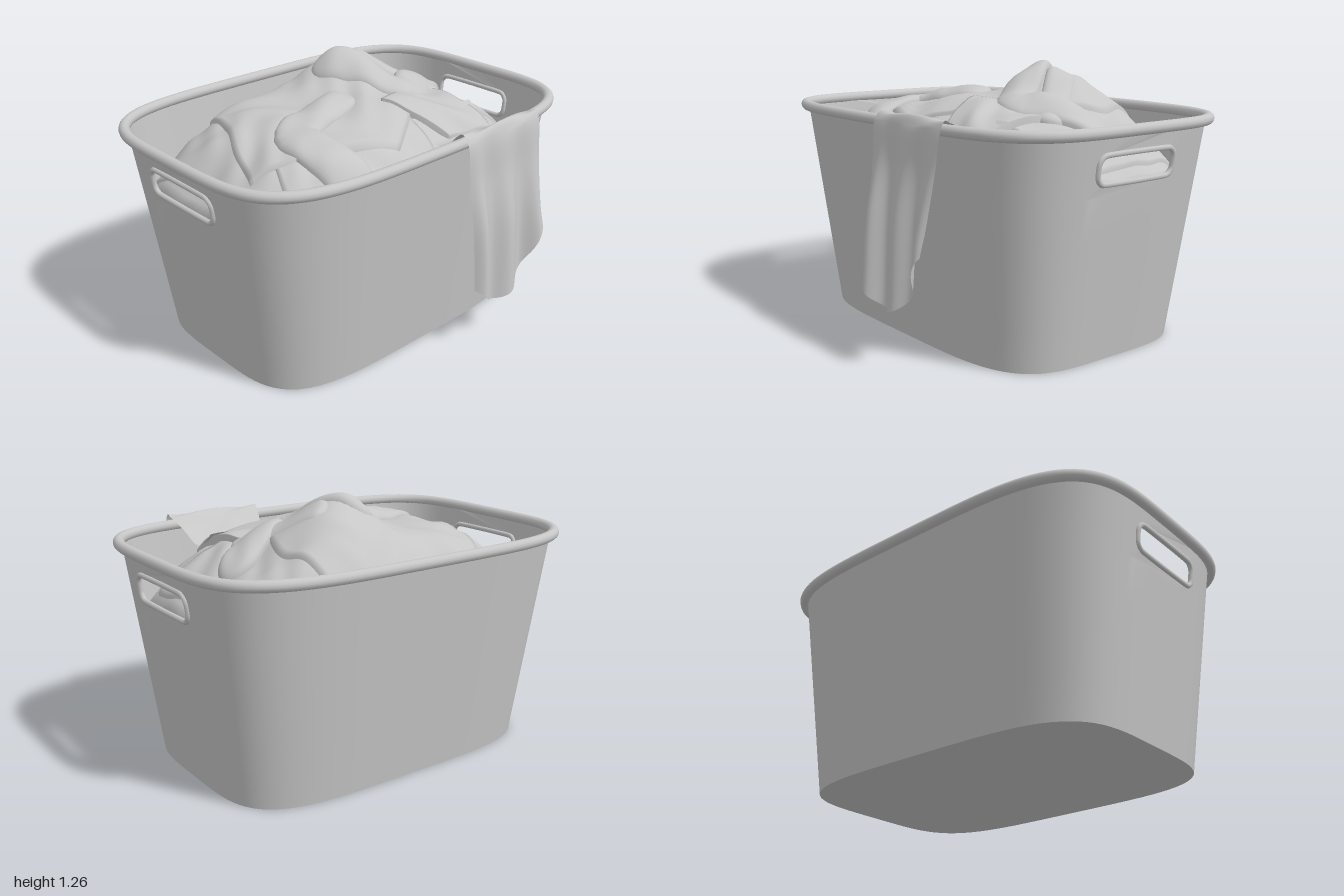
import * as THREE from 'three';
import { mergeGeometries, mergeVertices } from 'three/addons/utils/BufferGeometryUtils.js';

const CZ = -0.07;      // basket centre in z
const TOP = 1.02;      // top of the wall
const SILL = 0.75;     // bottom of the panels that hold the handle holes
const STEP = Math.PI / 60;
const PANEL = STEP * 8;

const halfX = (y) => 0.83 + 0.13 * y;
const halfZ = (y) => 0.555 + 0.11 * y;

// Point on a rounded rectangular outline at angle a
function outline(a, hx, hz, y, n = 4.3) {
  const c = Math.cos(a), s = Math.sin(a);
  const r = 1 / Math.pow(Math.abs(c) ** n + Math.abs(s) ** n, 1 / n);
  return new THREE.Vector3(hx * r * c, y, CZ + hz * r * s);
}
const wallPoint = (a, y) => outline(a, halfX(y), halfZ(y), y);

// Weld a geometry and give it smooth normals
function weld(geo) {
  geo.deleteAttribute('uv');
  geo.deleteAttribute('normal');
  const welded = mergeVertices(geo, 1e-4);
  welded.computeVertexNormals();
  return welded;
}

// Grid surface from a rule (s, t) -> Vector3
function surface(nu, nv, rule) {
  const geo = new THREE.PlaneGeometry(1, 1, nu, nv);
  const p = geo.attributes.position;
  for (let i = 0; i < p.count; i++) {
    const v = rule(0.5 - p.getX(i), p.getY(i) + 0.5);
    p.setXYZ(i, v.x, v.y, v.z);
  }
  return geo;
}

// Rounded slot outline, as (angle, y) points
function slot() {
  const pts = [], r = 0.045, w = 0.226 - r, h = 0.062 - r;
  [[1, 1], [-1, 1], [-1, -1], [1, -1]].forEach(([sx, sy], k) => {
    for (let i = 0; i <= 6; i++) {
      const a = (k + i / 6) * Math.PI / 2;
      pts.push(new THREE.Vector2(sx * w + r * Math.cos(a), 0.867 + sy * h + r * Math.sin(a)));
    }
  });
  return pts.map((q) => new THREE.Vector2(Math.atan(q.x / halfZ(q.y)), q.y));
}

function wallGeometry() {
  const parts = [];
  const band = (a0, a1, y0, y1, rows) => parts.push(surface(Math.round((a1 - a0) / STEP), rows,
    (s, t) => wallPoint(a0 + (a1 - a0) * s, y0 + (y1 - y0) * t)));
  band(0, Math.PI * 2, 0, SILL, 4);
  for (const a of [0, Math.PI]) {
    band(a + PANEL, a + Math.PI - PANEL, SILL, TOP, 1);
    // panel with the handle hole
    const pts = [];
    for (let i = -8; i <= 8; i++) pts.push(new THREE.Vector2(i * STEP, SILL));
    for (let i = 8; i >= -8; i--) pts.push(new THREE.Vector2(i * STEP, TOP));
    const shape = new THREE.Shape(pts);
    shape.holes.push(new THREE.Path(slot()));
    const panel = new THREE.ShapeGeometry(shape);
    const p = panel.attributes.position;
    for (let i = 0; i < p.count; i++) {
      const v = wallPoint(a - p.getX(i), p.getY(i));
      p.setXYZ(i, v.x, v.y, v.z);
    }
    parts.push(panel);
  }
  return weld(mergeGeometries(parts));
}

// Height of the laundry heap
const bump = (x, z, cx, cz, s) => Math.exp(-((x - cx) ** 2 + (z - cz) ** 2) / (2 * s * s));
function heap(x, z) {
  const X = Math.abs(x / 0.87), Z = Math.abs((z + 0.075) / 0.61);
  const folds = 0.010 * Math.sin(9 * x + 5 * z + 1) + 0.008 * Math.sin(14 * z - 8 * x)
    + 0.006 * Math.sin(23 * x + 3 * Math.sin(9 * z)) + 0.004 * Math.sin(31 * z + 4 * Math.sin(11 * x));
  return 0.75 + 0.295 * (1 - Math.min(1.2, X ** 3.4 + Z ** 4)) + folds
    + 0.085 * bump(x, z, 0.18, -0.25, 0.17) + 0.07 * bump(x, z, 0.24, -0.42, 0.2);
}

// Four-cornered garment panel draped on the heap, with a crisp edge;
// bulge swells its second side outwards
function sheet(corners, lift, bulge = 0) {
  const n = 40;
  const inset = (s) => THREE.MathUtils.clamp((s * n - 1) / (n - 2), 0, 1);
  const [a, b, c, d] = corners.map((q) => new THREE.Vector2(...q));
  return weld(surface(n, n, (s, t) => {
    const u = inset(s), v = inset(t);
    const p = a.clone().lerp(b, u).lerp(d.clone().lerp(c, u), v);
    p.x += 0.008 * Math.sin(p.y * 17) + bulge * u * 4 * v * (1 - v);
    p.y += 0.006 * Math.sin(p.x * 19);
    const edge = Math.min(s, 1 - s, t, 1 - t) < 0.5 / n;
    return new THREE.Vector3(p.x, heap(p.x, p.y) + (edge ? -0.02 : lift), p.y);
  }));
}

// Flattened sleeve lying on the heap along a path of (x, z) points
function sleeve(path, width, lift, height) {
  const curve = new THREE.CatmullRomCurve3(path.map(([x, z]) => new THREE.Vector3(x, 0, z)), false, 'centripetal');
  return weld(surface(44, 14, (s, t) => {
    const e = 0.5 - 0.5 * Math.cos(Math.PI * s);
    const p = curve.getPointAt(e), d = curve.getTangentAt(e);
    const end = Math.min(1, Math.min(e, 1 - e) / 0.13);
    const round = Math.sqrt(1 - (1 - end) ** 2);
    const k = -Math.cos(Math.PI * t);
    const x = p.x - d.z * k * width * round, z = p.z + d.x * k * width * round;
    const dome = Math.sqrt(Math.max(0, 1 - k * k)) * round;
    return new THREE.Vector3(x, heap(x, z) - 0.02 + (lift + 0.02 + height) * Math.pow(dome, 0.45), z);
  }));
}

// Cloth that leaves the heap, crosses the rim and hangs outside
function hangingCloth() {
  const hem = new THREE.SplineCurve([[0, 0.33], [0.1, 0.26], [0.27, 0.22], [0.5, 0.235], [0.7, 0.28],
    [0.88, 0.38], [1, 0.52]].map((q) => new THREE.Vector2(...q)));
  return weld(surface(40, 48, (s, t) => {
    const y = hem.getPoint(s).y;
    const curve = new THREE.CatmullRomCurve3([
      [0.26, heap(0.32, 0.26) + 0.02], [0.42, 0.95], [0.53, 1.01], [0.6, 1.062], [0.63, 1.07],
      [0.655, 1.03], [0.675, 0.85], [0.71, 0.62], [0.735, y],
    ].map(([z, h]) => new THREE.Vector3(0, h, z)), false, 'centripetal');
    const p = curve.getPoint(t);
    const drop = THREE.MathUtils.smoothstep(t, 0.58, 0.95);
    const pinch = 0.2 * bump(t, 0, 0.1, 0, 0.12);
    const width = 0.495 * (1 - pinch) - 0.035 * drop;
    p.x = 0.31 + (s - 0.5) * width - 0.006 * drop;
    // three lengthwise folds
    p.z += 0.028 * drop * Math.cos((s - 0.12) * Math.PI * 5) + 0.006 * Math.sin(s * 21) * drop;
    p.y += 0.006 * Math.sin(s * 9 + t * 20) * (1 - drop);
    return p;
  }));
}

export function createModel() {
  const model = new THREE.Group();
  model.name = 'laundryBasket';
  const grey = new THREE.MeshStandardMaterial({ color: 0xc6c6c6, side: THREE.DoubleSide });
  grey.name = 'lightGrey';
  const add = (name, geo) => {
    const mesh = new THREE.Mesh(geo, grey);
    mesh.name = name;
    model.add(mesh);
  };

  // Basket
  add('basketWall', wallGeometry());
  add('basketFloor', weld(surface(120, 1, (s, t) => {
    const p = wallPoint(s * Math.PI * 2, 0);
    return new THREE.Vector3(p.x * t, 0, CZ + (p.z - CZ) * t);
  })));
  const rimPath = Array.from({ length: 80 }, (_, i) => outline(i * Math.PI / 40, 0.974, 0.679, 1.025));
  add('rim', new THREE.TubeGeometry(new THREE.CatmullRomCurve3(rimPath, true), 160, 0.026, 12, true));
  for (const [name, a] of [['leftHandleRing', 0], ['rightHandleRing', Math.PI]]) {
    const loop = slot().map((q) => wallPoint(a - q.x, q.y));
    add(name, new THREE.TubeGeometry(new THREE.CatmullRomCurve3(loop, true), 120, 0.0125, 8, true));
  }

  // Heap of laundry
  add('laundryHeap', weld(surface(96, 30, (s, t) => {
    const r = Math.min(1, (1 - t) / 0.9);
    const p = outline(s * Math.PI * 2, 0.86 * r, 0.6 * r, 0, 5);
    const skirt = Math.max(0, 0.1 - t) / 0.1;
    p.x *= 1 - 0.04 * skirt;
    p.y = heap(p.x, p.z) * (1 - skirt) + 0.5 * skirt;
    return p;
  })));
  add('leftUnderCloth', sheet([[-0.81, -0.52], [-0.42, -0.62], [-0.3, 0.2], [-0.8, 0.3]], 0.012));
  add('rightUnderCloth', sheet([[0.36, -0.6], [0.77, -0.56], [0.83, 0.21], [0.4, 0.23]], 0.015));
  add('frontUnderCloth', sheet([[-0.62, 0.15], [0.15, 0.1], [0.1, 0.5], [-0.7, 0.43]], 0.018));
  add('shirtBody', sheet([[-0.42, -0.62], [0.39, -0.66], [-0.1, 0.4], [-0.73, 0.13]], 0.032, 0.3));
  add('frontCloth', sheet([[0.06, 0.1], [0.48, 0.02], [0.51, 0.42], [0.22, 0.41]], 0.045));
  add('leftSleeve', sleeve([[-0.01, -0.04], [-0.2, 0], [-0.42, 0.07], [-0.44, 0.2], [-0.37, 0.52]], 0.105, 0.03, 0.045));
  add('rightSleeve', sleeve([[0.03, -0.35], [0.16, -0.14], [0.3, 0.04], [0.45, -0.05], [0.69, -0.18]], 0.095, 0.03, 0.045));
  add('smallSleeve', sleeve([[0.24, -0.3], [0.36, -0.15], [0.53, 0.05]], 0.075, 0.025, 0.03));
  add('hangingCloth', hangingCloth());
  return model;
}
